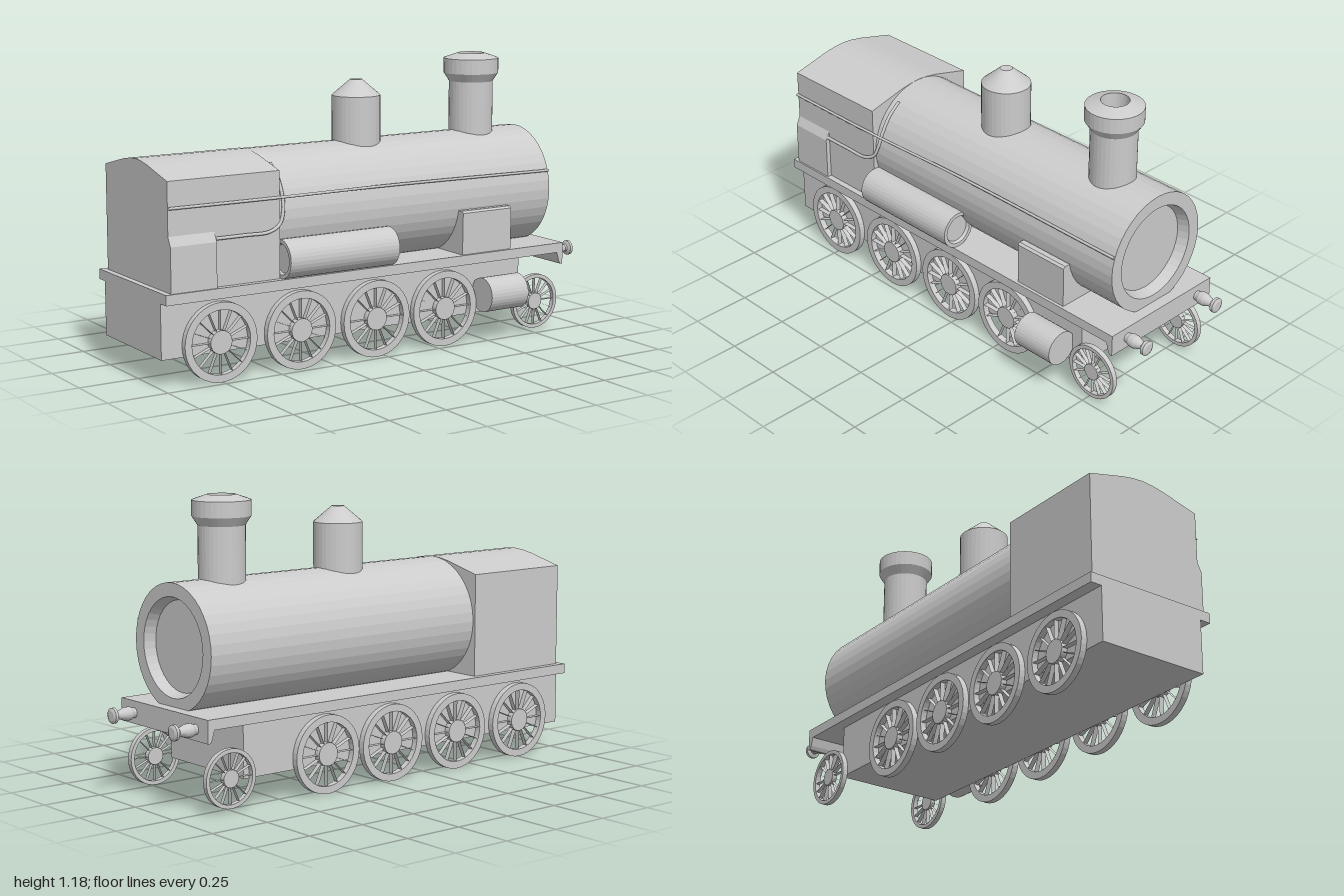
import * as THREE from 'three';

const MID = -0.04; // z of the locomotive's own centre line
const mat = new THREE.MeshStandardMaterial({ color: 0xcccccc, flatShading: true, side: THREE.DoubleSide });
const smooth = new THREE.MeshStandardMaterial({ color: 0xcccccc });

export function createModel() {
  const model = new THREE.Group();
  model.name = 'steamLocomotive';

  const add = (name, geo, x = 0, y = 0, z = 0, parent = model, material = mat) => {
    const m = new THREE.Mesh(geo, material);
    m.name = name;
    m.position.set(x, y, z);
    parent.add(m);
    return m;
  };
  const box = (name, x0, x1, y0, y1, z0, z1) =>
    add(name, new THREE.BoxGeometry(x1 - x0, y1 - y0, z1 - z0), (x0 + x1) / 2, (y0 + y1) / 2, (z0 + z1) / 2);
  // Turned part: [radius, distance along axis] pairs
  const turned = (pts, axis = 'y', seg = 32) => {
    const g = new THREE.LatheGeometry(pts.map(p => new THREE.Vector2(...p)), seg);
    if (axis === 'x') g.rotateZ(-Math.PI / 2);
    if (axis === 'z') g.rotateX(Math.PI / 2);
    return g;
  };
  const extrude = (pts, depth) => new THREE.ExtrudeGeometry(
    new THREE.Shape(pts.map(p => new THREE.Vector2(...p))), { depth, bevelEnabled: false });
  const pipe = (name, pts, r) => add(name, new THREE.TubeGeometry(
    new THREE.CatmullRomCurve3(pts.map(p => new THREE.Vector3(...p))), 48, r, 8), 0, 0, 0, model, smooth);

  // Chassis, and the running board that turns down into the buffer beam
  box('chassis', -1, 0.693, 0.115, 0.34, -0.28, 0.2);
  add('runningBoard', extrude([[-1, 0.335], [0.862, 0.335], [0.872, 0.3], [0.88, 0.285],
    [0.892, 0.285], [0.892, 0.376], [-1, 0.376]], 0.577), 0, 0, -0.329);

  // Boiler with recessed smokebox door
  add('boiler', turned([[0, -0.6], [0.25, -0.6], [0.25, 0.845], [0.196, 0.845], [0.18, 0.8], [0, 0.8]], 'x', 40),
    0, 0.605, MID);

  // Cab with arched roof
  const half = [[0.262, 0.375], [0.262, 0.802], [0.1, 0.843], [0.05, 0.852], [0, 0.856]];
  const outline = [...half, ...half.slice(0, 4).reverse().map(([z, y]) => [-z, y])];
  const cab = extrude(outline, 0.485);
  cab.rotateY(Math.PI / 2);
  add('cab', cab, -0.975, 0, MID);

  // Chimney and steam dome
  add('chimney', turned([[0.093, 0.8], [0.093, 1.06], [0.116, 1.095], [0.116, 1.157], [0.1, 1.163],
    [0.056, 1.178], [0.056, 1.08], [0, 1.08]]), 0.61, 0, MID);
  add('steamDome', turned([[0.1, 0.8], [0.1, 1.036], [0.025, 1.1], [0, 1.1]]), 0.03, 0, MID);

  // Side equipment on the +z side
  add('airReservoir', turned([[0, -0.24], [0.056, -0.24], [0.062, -0.253], [0.078, -0.253],
    [0.078, 0.253], [0.062, 0.253], [0.056, 0.24], [0, 0.24]], 'x'), -0.233, 0.453, 0.222);
  add('steamCylinder', turned([[0, -0.094], [0.072, -0.094], [0.072, 0.094], [0, 0.094]], 'x'),
    0.55, 0.203, 0.263);
  const sideBox = (name, x0, x1, pts) => {
    const g = extrude(pts.map(([z, y]) => [-z, y]), x1 - x0);
    g.rotateY(Math.PI / 2);
    add(name, g, x0);
  };
  sideBox('toolBox', 0.375, 0.622, [[0.05, 0.376], [0.235, 0.376], [0.238, 0.55], [0.228, 0.558], [0.05, 0.558]]);
  sideBox('cabLocker', -0.975, -0.778, [[0.2, 0.376], [0.241, 0.376], [0.241, 0.555], [0.222, 0.592], [0.2, 0.592]]);

  // Handrail and curved feed pipe
  pipe('handrail', [[-0.975, 0.699, 0.228], [-0.5, 0.697, 0.226], [0, 0.695, 0.208], [0.845, 0.685, 0.2]], 0.006);
  pipe('feedPipe', [[-0.778, 0.566, 0.231], [-0.65, 0.566, 0.231], [-0.54, 0.568, 0.23], [-0.49, 0.592, 0.222],
    [-0.468, 0.645, 0.212], [-0.462, 0.7, 0.194], [-0.46, 0.765, 0.155], [-0.46, 0.812, 0.1]], 0.007);

  // Spoked wheels: rim, hub and thin radial blades
  const wheel = (name, x, y, z, r, inner, hub, w) => {
    const g = new THREE.Group();
    g.name = name;
    g.position.set(x, y, z);
    model.add(g);
    const h = w / 2;
    add('rim', turned([[inner, -h], [r, -h], [r, h], [inner, h], [inner, -h]], 'z', 40), 0, 0, 0, g);
    add('hub', turned([[0, -h], [hub, -h], [hub, h], [0, h]], 'z', 24), 0, 0, 0, g);
    for (let i = 0; i < 16; i++) {
      const blade = new THREE.PlaneGeometry(inner - hub, w * 0.8);
      blade.rotateX(Math.PI / 2);
      blade.translate((inner + hub) / 2, 0, 0);
      blade.rotateZ(i * Math.PI / 8);
      add('spoke', blade, 0, 0, 0, g);
    }
  };
  for (const z of [0.212, -0.292]) {
    for (const x of [-0.754, -0.393, -0.04, 0.297]) wheel('drivingWheel', x, 0.158, z, 0.158, 0.128, 0.047, 0.027);
    wheel('leadingWheel', 0.767, 0.131, z, 0.116, 0.1, 0.035, 0.022);
  }

  // Buffers
  for (const z of [0.16, -0.25]) {
    add('buffer', turned([[0.02, 0.88], [0.02, 0.9], [0.027, 0.915], [0.027, 0.935], [0.02, 0.955],
      [0.014, 0.97], [0.016, 0.977], [0.031, 0.983], [0.031, 0.995], [0.02, 1], [0, 1]], 'x', 20), 0, 0.329, z);
  }

  return model;
}
